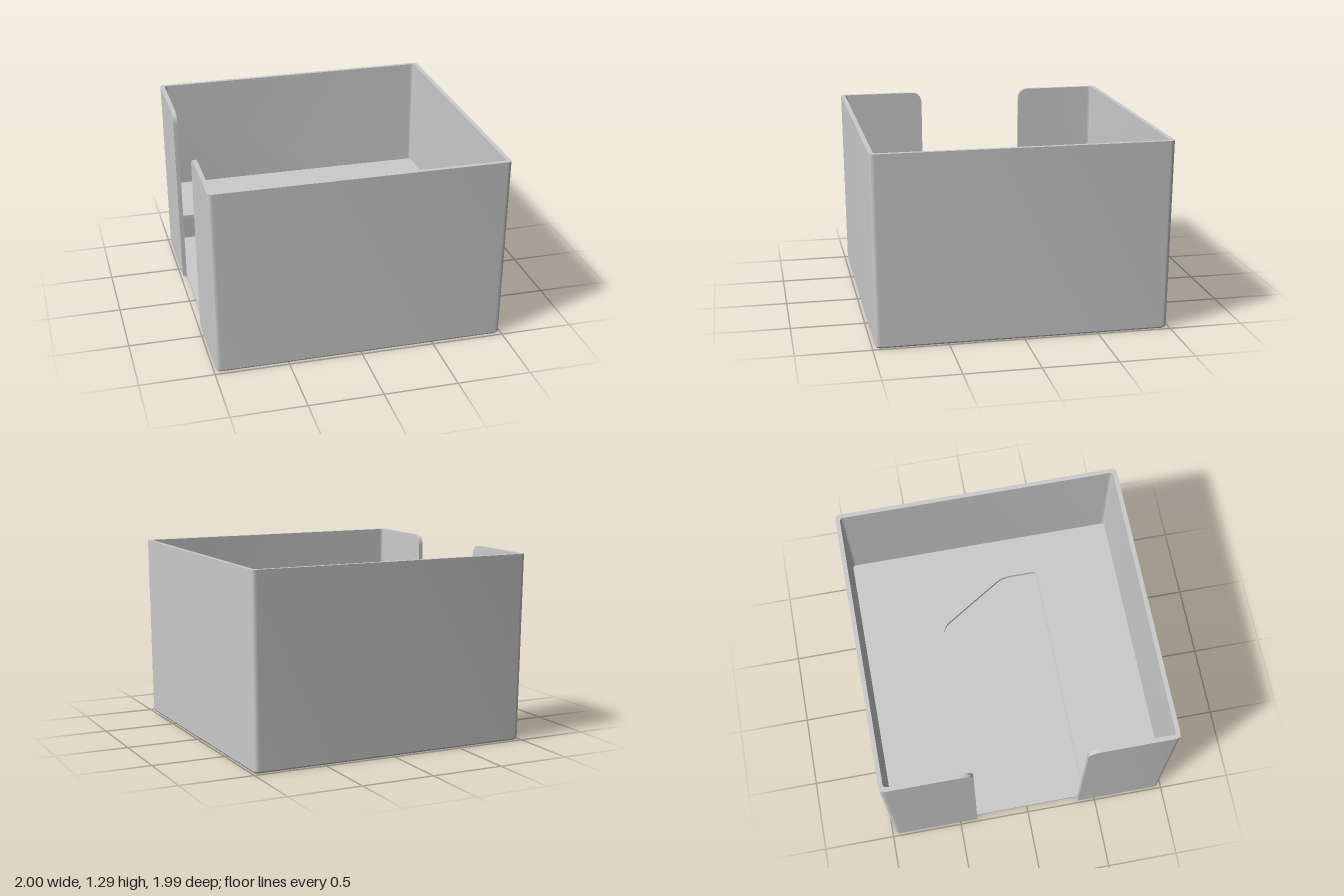
import * as THREE from 'three';
import { toCreasedNormals } from 'three/addons/utils/BufferGeometryUtils.js';

const HEIGHT = 1.29, HALF_X = 1, HALF_Z = 0.993, WALL = 0.03;
const GAP = 0.38, SPLIT = 0.5, FOOT = 0.012;

// Closed shape from corners [a, b, radius]
function roundedShape(corners) {
  const shape = new THREE.Shape();
  const n = corners.length;
  corners.forEach(([x, y, r = 0], i) => {
    const corner = new THREE.Vector2(x, y);
    const toward = (c) => new THREE.Vector2(c[0], c[1]).sub(corner).setLength(r).add(corner);
    const start = toward(corners[(i + n - 1) % n]);
    const end = toward(corners[(i + 1) % n]);
    if (i === 0) shape.moveTo(start.x, start.y);
    else shape.lineTo(start.x, start.y);
    if (r > 0) shape.quadraticCurveTo(x, y, end.x, end.y);
  });
  shape.closePath();
  return shape;
}

// Slight draft of the walls, with a small chamfer at the foot
function taper(geometry) {
  const p = geometry.attributes.position;
  for (let i = 0; i < p.count; i++) {
    const y = p.getY(i);
    const s = y < FOOT - 1e-4 ? 0.978 : 0.987 + 0.013 * (y / HEIGHT);
    p.setX(i, p.getX(i) * s);
    p.setZ(i, p.getZ(i) * s);
  }
  return toCreasedNormals(geometry, 0.6);
}

const extrude = (corners, depth) => new THREE.ExtrudeGeometry(
  roundedShape(corners), { depth, bevelEnabled: false, curveSegments: 8 });

// Plan outline in (x, z), raised from y0 to y1
const raise = (corners, y0, y1) =>
  taper(extrude(corners, y1 - y0).rotateX(Math.PI / 2).translate(0, y1, 0));

export function createModel() {
  const group = new THREE.Group();
  const material = new THREE.MeshStandardMaterial({ color: 0xcccccc });
  const add = (name, geometry) => {
    const mesh = new THREE.Mesh(geometry, material);
    mesh.name = name;
    group.add(mesh);
  };
  const ix = HALF_X - WALL, iz = HALF_Z - WALL;

  // Three full walls and the outer ends of the open side
  add('walls', raise([
    [-HALF_X, -SPLIT], [-HALF_X, -HALF_Z, 0.035], [HALF_X, -HALF_Z, 0.035],
    [HALF_X, HALF_Z, 0.035], [-HALF_X, HALF_Z, 0.035], [-HALF_X, SPLIT],
    [-ix, SPLIT], [-ix, iz, 0.025], [ix, iz, 0.025],
    [ix, -iz, 0.025], [-ix, -iz, 0.025], [-ix, -SPLIT],
  ], FOOT, HEIGHT));

  // Rounded wall ends on both sides of the opening
  for (const side of [1, -1]) {
    const end = extrude([
      [side * SPLIT, FOOT], [side * GAP, FOOT],
      [side * GAP, HEIGHT, 0.08], [side * SPLIT, HEIGHT],
    ], WALL).rotateY(-Math.PI / 2).translate(-ix, 0, 0);
    add(side > 0 ? 'frontWallEnd' : 'backWallEnd', taper(end));
  }

  // Chamfered foot, notched at the opening
  add('foot', raise([
    [-HALF_X, -GAP], [-HALF_X, -HALF_Z, 0.035], [HALF_X, -HALF_Z, 0.035],
    [HALF_X, HALF_Z, 0.035], [-HALF_X, HALF_Z, 0.035], [-HALF_X, GAP],
    [-ix, GAP], [-ix, -GAP],
  ], 0, FOOT));

  // Bottom plate inside the walls
  add('floor', raise([
    [-ix, -iz, 0.02], [ix, -iz, 0.02], [ix, iz, 0.02], [-ix, iz, 0.02],
  ], FOOT, 0.027));

  // Thin raised shelf with a cutout running in from the opening
  add('shelf', raise([
    [-ix, -iz, 0.02], [ix, -iz, 0.02], [ix, iz, 0.02], [-ix, iz, 0.02],
    [-ix, GAP], [0.672, GAP, 0.03], [0.672, 0.12, 0.06],
    [0.355, -GAP, 0.06], [-ix, -GAP],
  ], 0.475, 0.5));

  return group;
}
